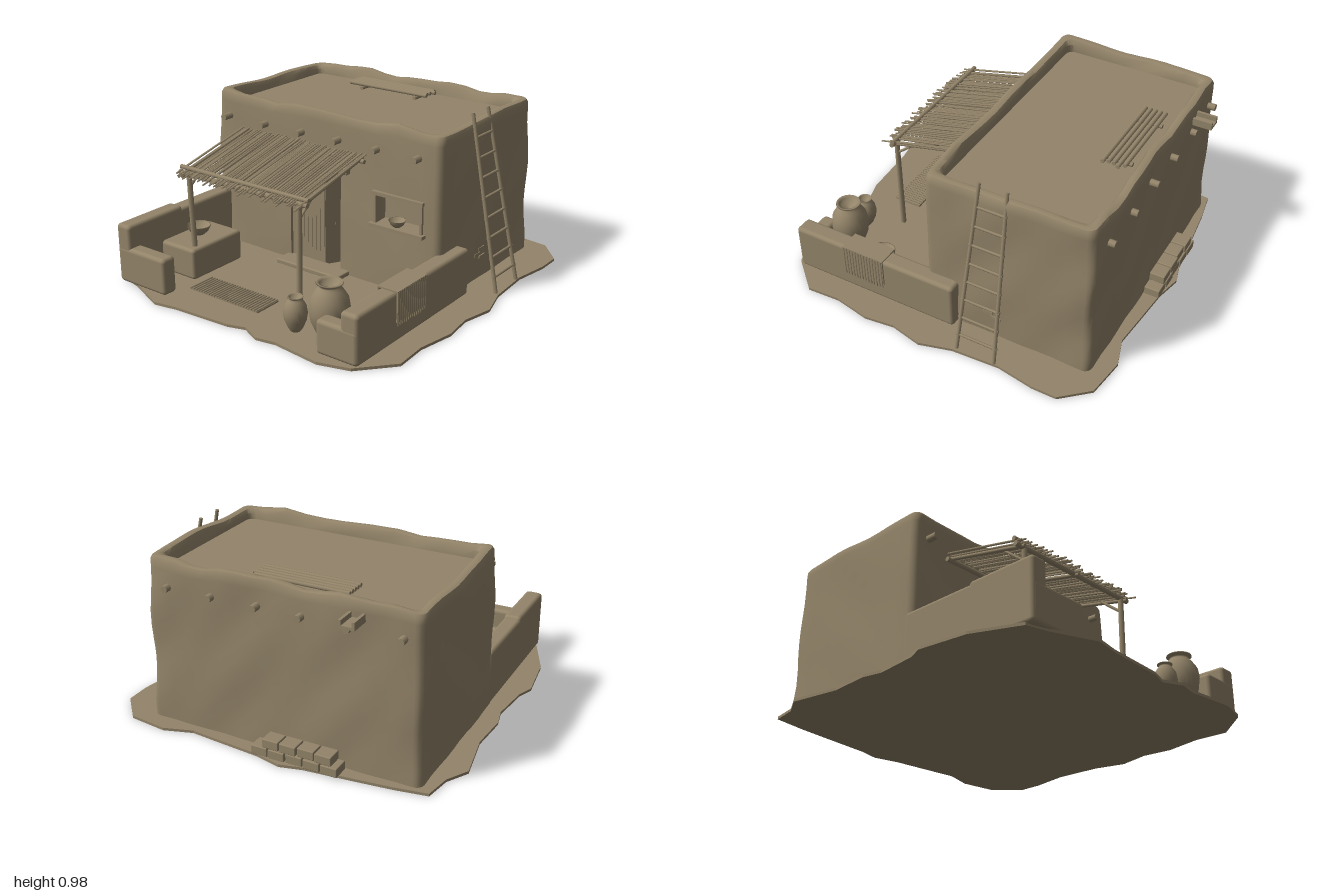
import * as THREE from 'three';
import { toCreasedNormals } from 'three/addons/utils/BufferGeometryUtils.js';
import { RoundedBoxGeometry } from 'three/addons/geometries/RoundedBoxGeometry.js';

const V = (x, y, z) => new THREE.Vector3(x, y, z);

export function createModel() {
  const group = new THREE.Group();
  const clay = new THREE.MeshStandardMaterial({ color: 0x94856a, side: THREE.DoubleSide });
  clay.name = 'clay';
  let seed = 7;
  const rand = () => (seed = (seed * 16807) % 2147483647) / 2147483647;

  const add = (name, geo, x = 0, y = 0, z = 0) => {
    const m = new THREE.Mesh(geo, clay);
    m.name = name;
    m.position.set(x, y, z);
    group.add(m);
    return m;
  };
  // box given by its min and max corners
  const block = (name, x0, x1, y0, y1, z0, z1, r = 0) => add(name,
    r ? new RoundedBoxGeometry(x1 - x0, y1 - y0, z1 - z0, 3, r) : new THREE.BoxGeometry(x1 - x0, y1 - y0, z1 - z0),
    (x0 + x1) / 2, (y0 + y1) / 2, (z0 + z1) / 2);
  const rod = (name, a, b, r, sides = 8) => {
    const d = b.clone().sub(a);
    const m = add(name, new THREE.CylinderGeometry(r * 0.92, r, d.length(), sides));
    m.position.copy(a).addScaledVector(d, 0.5);
    m.quaternion.setFromUnitVectors(V(0, 1, 0), d.normalize());
    return m;
  };
  const lathe = (name, pts, x, y, z) =>
    add(name, new THREE.LatheGeometry(pts.map(p => new THREE.Vector2(...p)), 24), x, y, z);

  // Ground slab with a ragged outline
  const outline = [[-0.89, -0.89], [-0.71, -0.92], [-0.53, -0.94], [-0.24, -0.97], [-0.12, -1], [0.03, -0.965], [0.24, -0.945],
    [0.44, -0.925], [0.6, -0.975], [0.82, -0.945], [0.95, -0.8], [0.95, -0.66], [0.915, -0.45], [0.93, -0.18], [0.98, 0],
    [0.94, 0.18], [0.96, 0.35], [0.92, 0.56], [0.93, 0.75], [0.77, 0.93], [0.6, 0.98], [0.32, 0.95], [0.21, 0.97],
    [0.1, 0.92], [0, 0.95], [-0.34, 0.97], [-0.48, 0.995], [-0.71, 0.9], [-0.84, 0.865], [-0.95, 0.61], [-0.985, 0.33],
    [-0.95, 0.24], [-0.925, 0], [-0.95, -0.11], [-0.935, -0.34], [-0.985, -0.62], [-0.915, -0.74]];
  const ground = new THREE.ExtrudeGeometry(new THREE.Shape(outline.map(([x, z]) => new THREE.Vector2(x, -z))),
    { depth: 0.015, bevelEnabled: false });
  add('ground', ground.rotateX(-Math.PI / 2));

  // House: a loop of columns swept up the wall, over the parapet and down to the roof.
  // Doubled columns and rows carry the sharp edges of the doorway and the niche.
  const HX = 0.785, HZ = 0.49, CX = -0.055, CZ = -0.385, R = 0.045;
  const cols = [];
  const corner = (sx, sz, a0) => {
    for (let i = 0; i <= 4; i++) {
      const a = a0 - i * Math.PI / 8;
      cols.push([sx * (HX - R) + Math.cos(a) * R, sz * (HZ - R) + Math.sin(a) * R, '']);
    }
  };
  [[-0.7], [-0.6], [-0.5], [-0.4], [-0.27], [-0.27, 'd'], [-0.1, 'd'], [0.08, 'd'], [0.08], [0.2], [0.32], [0.32, 'n'],
    [0.46, 'n'], [0.61, 'n'], [0.61]].forEach(([x, t = '']) => cols.push([x - CX, HZ, t]));
  corner(1, 1, Math.PI / 2);
  for (let i = 1; i < 10; i++) cols.push([HX, 0.44 - i * 0.088, '']);
  corner(1, -1, 0);
  for (let i = 1; i < 15; i++) cols.push([0.74 - i * 0.0987, -HZ, '']);
  corner(-1, -1, -Math.PI / 2);
  for (let i = 1; i < 10; i++) cols.push([-HX, -0.44 + i * 0.088, '']);
  corner(-1, 1, Math.PI);
  // rows: inset, height, openings crossed, share of the wavy top
  const rows = [[0, 0.005, 'd', 0], [0, 0.1, 'd', 0], [0.002, 0.2, 'd', 0], [0.003, 0.3, 'd', 0], [0.004, 0.38, 'd', 0],
    [0.004, 0.38, 'dn', 0], [0.006, 0.46, 'dn', 0], [0.007, 0.54, 'dn', 0], [0.007, 0.54, 'd', 0], [0.008, 0.62, 'd', 0],
    [0.008, 0.62, '', 0], [0.009, 0.7, '', 0], [0.01, 0.79, '', 0], [0.011, 0.87, '', 0.5], [0.013, 0.905, '', 1],
    [0.022, 0.923, '', 1], [0.04, 0.928, '', 1], [0.062, 0.922, '', 1], [0.075, 0.9, '', 0.8], [0.08, 0.86, '', 0], [0.4, 0.86, '', 0]];
  const pos = [], idx = [], n = cols.length;
  rows.forEach(([inset, h, open, wave], j) => cols.forEach(([px, pz, tag], i) => {
    const bump = j > 18 ? 0 : 0.007 * Math.sin(8 * px + 5 * h) * Math.sin(6 * h + 7 * pz) + 0.003 * Math.sin(19 * px + 13 * h + 17 * pz);
    const x = px * (HX - inset + bump) / HX, z = pz * (HZ - inset + bump) / HZ;
    const push = tag && open.includes(tag) ? (tag === 'd' ? 0.25 : 0.09) : 0;
    const top = wave * (0.009 * Math.sin(10 * px + 1.2 + 3 * pz) + 0.006 * Math.sin(19 * px + 9 * pz));
    pos.push(CX + x, h + top, CZ + z - push);
    if (j < rows.length - 1) {
      const a = j * n + i, b = j * n + (i + 1) % n;
      idx.push(a, b, b + n, a, b + n, a + n);
    }
  }));
  const house = new THREE.BufferGeometry();
  house.setAttribute('position', new THREE.Float32BufferAttribute(pos, 3));
  house.setIndex(idx);
  add('house', toCreasedNormals(house, 0.7));
  block('roof', -0.78, 0.67, 0.84, 0.861, -0.82, 0.05);

  // Roof beam ends, front and back
  for (const x of [-0.73, -0.45, -0.19, 0.06, 0.32, 0.58]) {
    rod('frontBeamEnd', V(x, 0.79, 0.05), V(x, 0.79, 0.15), 0.021);
    rod('backBeamEnd', V(x, 0.785, -0.8), V(x, 0.785, -0.905), 0.021);
  }

  // Rain spout
  block('spoutFloor', -0.535, -0.45, 0.83, 0.845, -0.98, -0.82);
  for (const x of [-0.535, -0.465]) block('spoutSide', x, x + 0.015, 0.83, 0.872, -0.98, -0.82);

  // Pole rack on the roof
  for (let i = 0; i < 5; i++)
    rod('roofPole', V(-0.39, 0.895, -0.74 + i * 0.029), V(0.14 + rand() * 0.025, 0.895, -0.74 + i * 0.029), 0.012);
  for (const x of [-0.3, 0.08]) rod('roofPoleRest', V(x, 0.872, -0.76), V(x, 0.872, -0.61), 0.012);

  // Door: a straight leaf and one folded inwards
  for (let i = 0; i < 8; i++) {
    block('doorPlank', -0.27 + i * 0.029, -0.243 + i * 0.029, 0.03, 0.62, 0.07, 0.09);
    const p = add('foldedDoorPlank', new THREE.BoxGeometry(0.029, 0.59, 0.014), -0.034 + i * 0.0145, 0.325, 0.07 - i * 0.025);
    p.rotation.y = Math.PI / 3;
  }
  block('lintel', -0.34, 0.14, 0.61, 0.65, 0.06, 0.125, 0.008);
  block('doorStep', -0.3, 0.14, 0.01, 0.04, 0.08, 0.21, 0.008);

  // Niche frame, shelf and bowl
  block('nicheTop', 0.3, 0.625, 0.54, 0.56, 0.06, 0.12);
  block('nicheShelf', 0.29, 0.635, 0.36, 0.38, 0.03, 0.135);
  for (const x of [0.31, 0.605]) block('nicheSide', x, x + 0.015, 0.38, 0.54, 0.06, 0.115);
  const bowl = [[0, 0], [0.4, 0], [0.75, 0.3], [1, 0.8], [0.92, 0.8], [0.65, 0.35], [0, 0.15]];
  const addBowl = (name, r, x, y, z) => lathe(name, bowl.map(([a, b]) => [a * r, b * r]), x, y, z);
  addBowl('nicheBowl', 0.048, 0.45, 0.38, 0.09);

  // Awning: rafters, beams, posts, braces and a layer of twigs
  const slope = z => 0.735 - (z - 0.11) * 0.235;
  for (const x of [-0.59, -0.18, 0.22]) rod('rafter', V(x, slope(0.08) - 0.015, 0.08), V(x, slope(0.64) - 0.015, 0.64), 0.011);
  rod('frontBeam', V(-0.63, 0.605, 0.61), V(0.26, 0.612, 0.61), 0.015);
  rod('frontBinding', V(-0.63, 0.636, 0.6), V(0.26, 0.636, 0.6), 0.013);
  rod('wallBeam', V(-0.62, 0.71, 0.115), V(0.25, 0.71, 0.115), 0.014);
  for (let i = 0; i < 88; i++) {
    const x = -0.615 + i * 0.0099, z0 = 0.1 + rand() * 0.02, z1 = 0.61 + rand() * 0.08, lift = rand() * 0.014;
    rod('twig', V(x + (rand() - 0.5) * 0.015, slope(z0) + lift, z0), V(x + (rand() - 0.5) * 0.015, slope(z1) + lift, z1), 0.0055, 5);
  }
  for (const [x0, x1] of [[-0.54, -0.565], [0.2, 0.205]]) {
    rod('post', V(x0, 0.01, 0.61), V(x1, 0.61, 0.61), 0.016);
    rod('brace', V(x1, 0.53, 0.61), V(x1, 0.635, 0.48), 0.008);
  }

  // Courtyard walls and bench
  block('leftWall', -0.84, -0.74, 0.01, 0.335, 0.05, 0.6, 0.022);
  block('leftWallEnd', -0.84, -0.74, 0.01, 0.35, 0.5, 0.91, 0.022);
  block('leftFrontWall', -0.835, -0.485, 0.01, 0.22, 0.82, 0.912, 0.022);
  block('rightWall', 0.685, 0.79, 0.01, 0.28, -0.1, 0.91, 0.022);
  block('rightFrontWall', 0.54, 0.788, 0.01, 0.195, 0.82, 0.912, 0.022);
  block('bench', -0.76, -0.5, 0.01, 0.19, 0.28, 0.67, 0.02);
  addBowl('benchBowl', 0.07, -0.65, 0.19, 0.47);
  addBowl('groundBowl', 0.072, 0.525, 0.015, 0.53);

  // Blanket over the right wall, with a fringe
  block('blanketTop', 0.678, 0.798, 0.28, 0.288, 0.33, 0.59);
  block('blanketOuter', 0.791, 0.799, 0.12, 0.288, 0.33, 0.59);
  block('blanketInner', 0.676, 0.684, 0.16, 0.288, 0.33, 0.59);
  for (let i = 0; i < 14; i++) {
    const z = 0.34 + i * 0.0185;
    rod('fringe', V(0.795, 0.13, z), V(0.797, 0.092 + rand() * 0.012, z), 0.004, 5);
    rod('blanketFold', V(0.797, 0.12, z), V(0.797, 0.285, z), 0.006, 6);
  }

  // Water jars
  const jar = [[0, 0], [0.4, 0], [0.62, 0.1], [0.9, 0.32], [1, 0.52], [0.9, 0.73], [0.62, 0.88], [0.5, 0.92], [0.5, 0.95],
    [0.65, 0.98], [0.63, 1], [0.46, 0.98], [0.42, 0.9], [0, 0.85]];
  for (const [name, r, h, x, z] of [['largeJar', 0.106, 0.31, 0.51, 0.755], ['smallJar', 0.063, 0.19, 0.32, 0.79]])
    lathe(name, jar.map(([a, b]) => [a * r, b * h]), x, 0.015, z);

  // Striped floor mat
  block('mat', -0.44, 0.045, 0.014, 0.024, 0.6, 0.765);
  for (let i = 0; i < 26; i++) rod('matReed', V(-0.433 + i * 0.0188, 0.025, 0.6), V(-0.433 + i * 0.0188, 0.025, 0.77), 0.007, 6);

  // Ladder leaning on the right side
  const rail = (s, y) => V(0.91 - 0.21 * y / 0.98, y, -0.305 + s * (0.112 - 0.035 * y));
  for (const s of [-1, 1]) rod('ladderRail', rail(s, 0.012), rail(s, 0.98), 0.011);
  for (let i = 0; i < 8; i++) rod('ladderRung', rail(-1.12, 0.1 + i * 0.107), rail(1.12, 0.1 + i * 0.107), 0.008);

  // Bricks stacked at the back, and a few bared on the right wall
  for (let i = 0; i < 5; i++) block('brick', -0.435 + i * 0.1, -0.342 + i * 0.1, 0.012, 0.062, -0.965 - rand() * 0.01, -0.88, 0.005);
  for (let i = 0; i < 4; i++) block('brick', -0.4 + i * 0.1, -0.307 + i * 0.1, 0.063, 0.113, -0.96 - rand() * 0.01, -0.88, 0.005);
  for (const [y, z] of [[0.13, -0.36], [0.155, -0.31], [0.18, -0.35]]) block('baredBrick', 0.72, 0.737, y, y + 0.018, z, z + 0.06);

  return group;
}
